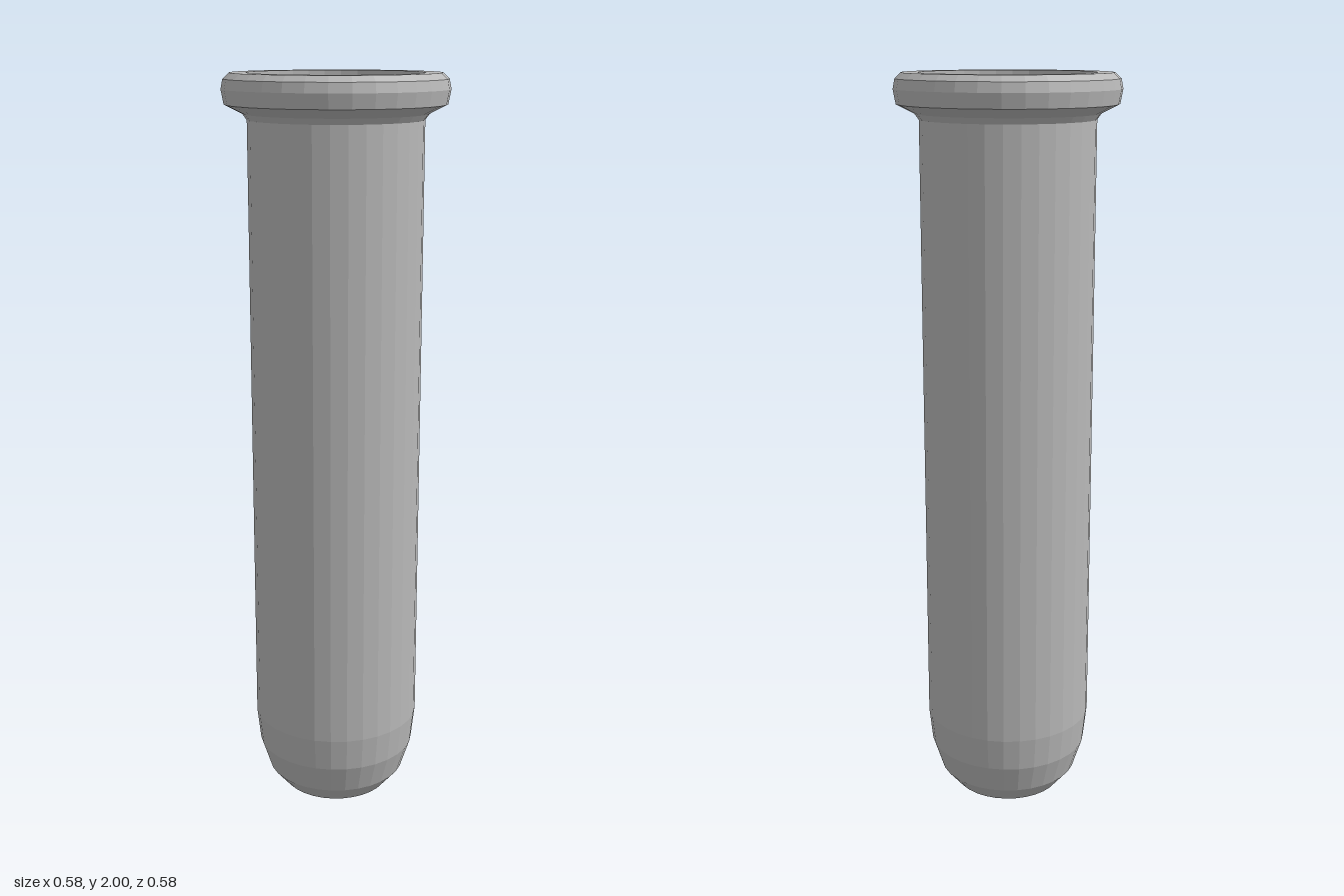
import * as THREE from 'three';

const SEGMENTS = 32;

export function createModel() {
  const group = new THREE.Group();
  const grey = new THREE.MeshStandardMaterial({ color: 0xb8b8b8, flatShading: true });
  grey.name = 'grey';

  // Turn a profile of [radius, height] points around the y axis
  const turned = (name, profile) => {
    const points = profile.map(([r, y]) => new THREE.Vector2(r, y));
    const mesh = new THREE.Mesh(new THREE.LatheGeometry(points, SEGMENTS), grey);
    mesh.name = name;
    group.add(mesh);
  };

  // Rounded closed end with a small flat base
  turned('roundedBase', [[0, 0], [0.09, 0], [0.148, 0.03], [0.19, 0.08], [0.216, 0.16], [0.226, 0.25]]);

  // Long straight tube
  turned('tube', [[0.226, 0.25], [0.226, 1.885]]);

  // Flared lip with bevelled edges and the inner wall of the recess
  turned('rim', [
    [0.226, 1.885], [0.237, 1.9], [0.283, 1.923], [0.29, 1.96],
    [0.285, 1.985], [0.269, 2], [0.226, 2], [0.226, 1.96],
  ]);

  // Shallow floor inside the lip
  turned('recessFloor', [[0.226, 1.96], [0, 1.96]]);

  return group;
}
